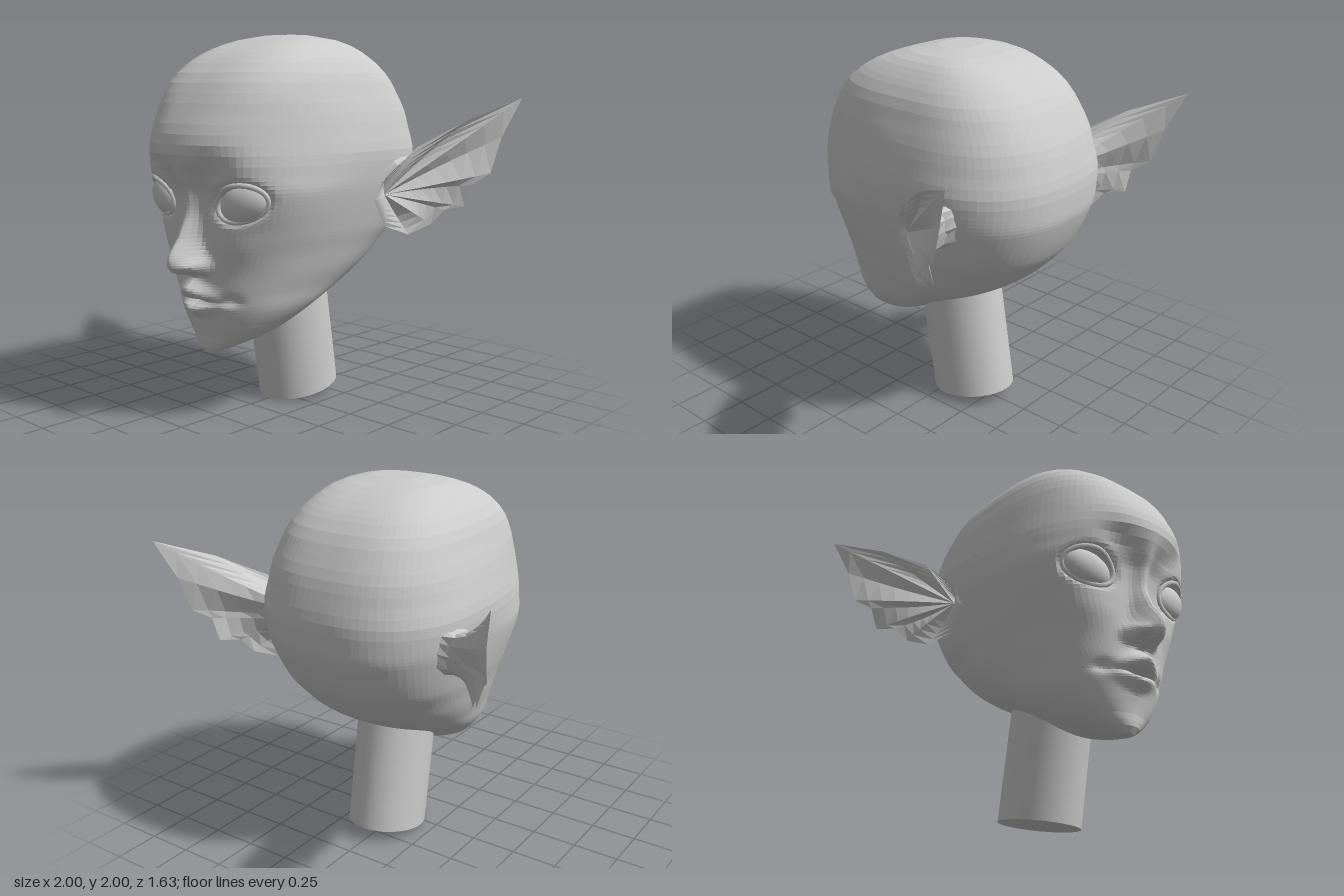
import * as THREE from 'three';

const material = new THREE.MeshStandardMaterial({ color: 0xcccccc, flatShading: true, side: THREE.DoubleSide });
const smooth = new THREE.MeshStandardMaterial({ color: 0xcccccc });

// Head cross-sections: height, half width, front z, back z, z of widest point, front and back squareness
const SECTIONS = [
  [0.36, 0.04, 0.565, 0.5, 0.53, 2, 2],
  [0.39, 0.1, 0.585, 0.38, 0.47, 2, 2.1],
  [0.45, 0.2, 0.59, 0.18, 0.38, 2, 2.2],
  [0.5, 0.26, 0.6, 0.1, 0.32, 2.1, 2.3],
  [0.6, 0.34, 0.622, -0.08, 0.22, 2.2, 2.3],
  [0.7, 0.385, 0.64, -0.3, 0.12, 2.3, 2.3],
  [0.8, 0.43, 0.645, -0.46, 0.03, 2.4, 2.3],
  [0.9, 0.465, 0.645, -0.57, -0.04, 2.6, 2.3],
  [1.0, 0.5, 0.648, -0.65, -0.1, 2.9, 2.4],
  [1.2, 0.55, 0.665, -0.735, -0.15, 3.4, 2.5],
  [1.3, 0.565, 0.73, -0.745, -0.17, 2.8, 2.5],
  [1.4, 0.57, 0.782, -0.742, -0.17, 2.4, 2.5],
  [1.5, 0.55, 0.765, -0.718, -0.16, 2.4, 2.5],
  [1.6, 0.525, 0.71, -0.685, -0.15, 2.6, 2.6],
  [1.7, 0.49, 0.645, -0.63, -0.12, 2.9, 2.7],
  [1.8, 0.45, 0.56, -0.56, -0.08, 3, 2.8],
  [1.9, 0.37, 0.41, -0.44, -0.05, 3, 2.8],
  [1.97, 0.27, 0.22, -0.28, -0.04, 2.8, 2.8],
  [2.0, 0.13, 0.07, -0.13, -0.03, 2.5, 2.5],
];
// Nose ridge: height, projection
const NOSE = [[0.77, 0], [0.785, 0.03], [0.803, 0.125], [0.83, 0.165], [0.86, 0.176], [0.895, 0.17], [0.94, 0.14],
  [0.985, 0.105], [1.1, 0.052], [1.22, 0.042], [1.34, 0.012], [1.45, 0]];
const EYE = { x: 0.29, y: 1.165, a: 0.13, b: 0.088, tilt: 0.36 };

// Smooth interpolation of one table column
function sample(table, y, k) {
  const last = table.length - 1;
  if (y <= table[0][0]) return table[0][k];
  if (y >= table[last][0]) return table[last][k];
  let i = 0;
  while (table[i + 1][0] < y) i++;
  const slope = (j) => {
    const p = table[Math.max(j - 1, 0)], q = table[Math.min(j + 1, last)];
    return (q[k] - p[k]) / (q[0] - p[0]);
  };
  const h = table[i + 1][0] - table[i][0], t = (y - table[i][0]) / h, t2 = t * t, t3 = t2 * t;
  return (2 * t3 - 3 * t2 + 1) * table[i][k] + (t3 - 2 * t2 + t) * h * slope(i)
    + (3 * t2 - 2 * t3) * table[i + 1][k] + (t3 - t2) * h * slope(i + 1);
}
const section = (y) => [1, 2, 3, 4, 5, 6].map((k) => sample(SECTIONS, y, k));

const bump = (x, y, cx, cy, sx, sy) => Math.exp(-(((x - cx) / sx) ** 2) - ((y - cy) / sy) ** 2);

// Nose, lips, brow and eye sockets as offsets in z
function features(x, y) {
  const ax = Math.abs(x);
  const width = 0.045 + 0.03 * bump(0, y, 0, 0.84, 1, 0.07);
  let z = sample(NOSE, y, 1) * Math.exp(-((ax / width) ** 2.2));
  z += 0.045 * bump(ax, y, 0.078, 0.84, 0.03, 0.035);
  z -= 0.04 * bump(ax, y, 0.042, 0.8, 0.02, 0.016);
  z += 0.07 * bump(ax, y, 0, 0.71 - 0.25 * ax, 0.11, 0.042);
  z += 0.055 * bump(ax, y, 0, 0.6 + 0.2 * ax, 0.1, 0.034);
  z -= 0.035 * bump(ax, y, 0, 0.648, 0.13, 0.016);
  z -= 0.025 * bump(ax, y, 0.19, 0.66, 0.04, 0.03);
  z += 0.015 * bump(ax, y, 0.27, 0.93, 0.12, 0.09);
  z -= 0.03 * bump(ax, y, 0.2, 1.33 + 0.3 * (ax - 0.2), 0.11, 0.07);
  const dx = ax - EYE.x, dy = y - EYE.y, c = Math.cos(EYE.tilt), s = Math.sin(EYE.tilt);
  const d = Math.hypot((dx * c + dy * s) / EYE.a, (dy * c - dx * s) / EYE.b);
  return z - 0.08 * Math.exp(-(d ** 5));
}

// Plain face surface without features
function faceZ(x, y) {
  const [w, zf, , zm, n] = section(y);
  return zm + (zf - zm) * (1 - Math.min(1, Math.abs(x) / w) ** n) ** (1 / n);
}

// Half width of the skull behind its widest point
function skullX(y, z) {
  const [w, , zb, zm, , n] = section(y);
  return w * (1 - Math.min(1, Math.max(0, zm - z) / (zm - zb)) ** n) ** (1 / n);
}

// Surface from a rule point(row, column)
function grid(rows, cols, point) {
  const pos = [], index = [];
  for (let i = 0; i <= rows; i++) for (let j = 0; j <= cols; j++) pos.push(...point(i, j));
  for (let i = 0; i < rows; i++) for (let j = 0; j < cols; j++) {
    const a = i * (cols + 1) + j, d = a + cols + 1;
    index.push(a, a + 1, d + 1, a, d + 1, d);
  }
  const g = new THREE.BufferGeometry();
  g.setAttribute('position', new THREE.Float32BufferAttribute(pos, 3));
  g.setIndex(index);
  g.computeVertexNormals();
  return g;
}

function headGeometry() {
  const ys = [0.36];
  while (ys[ys.length - 1] < 1.995) {
    const y = ys[ys.length - 1];
    ys.push(Math.min(2, y + (y < 0.54 ? 0.03 : y < 0.9 ? 0.012 : y < 1.3 ? 0.02 : y < 1.85 ? 0.05 : 0.025)));
  }
  const half = 60, rows = ys.length + 1;
  return grid(rows, half * 2, (i, j) => {
    const y = ys[Math.min(Math.max(i - 1, 0), ys.length - 1)];
    const shrink = i === 0 || i === rows ? 0.001 : 1;
    const [w, zf, zb, zm, nf, nb] = section(y);
    const u = j / half - 1, th = Math.PI * Math.sign(u) * Math.abs(u) ** 1.4;
    const s = Math.sin(th), c = Math.cos(th), n = c > 0 ? nf : nb, depth = c > 0 ? zf - zm : zm - zb;
    const r = shrink * (Math.abs(s / w) ** n + Math.abs(c / depth) ** n) ** (-1 / n);
    const x = r * s, z = zm + r * c;
    return [x, y, z + (c > 0 && z > 0.3 ? features(x, y) * shrink : 0)];
  });
}

// Fin ear outline: front rim, tip, scalloped rear edge, lobe
const EAR = [[0.565, 1.14, -0.1], [0.6, 1.26, -0.15], [0.69, 1.415, -0.29], [0.84, 1.55, -0.52], [1, 1.67, -0.81],
  [0.935, 1.46, -0.72], [0.91, 1.27, -0.66], [0.85, 1.21, -0.575], [0.81, 1.09, -0.57], [0.75, 1.075, -0.47],
  [0.7, 1.0, -0.42], [0.64, 0.95, -0.3], [0.575, 1.0, -0.18]].map((p) => new THREE.Vector3(...p));

function buildEar() {
  const hub = new THREE.Vector3(0.575, 1.17, -0.17), outward = new THREE.Vector3(0.82, -0.1, 0.56);
  const n = EAR.length, steps = 7;
  const front = (i, j) => {
    const t = i / steps, fold = j % n % 2 ? -0.022 : 0.01;
    return hub.clone().lerp(EAR[j % n], t).addScaledVector(outward, fold * Math.sin(Math.PI * t));
  };
  // The back flares from a ring sunk in the skull into the thin fin
  const back = (i, j) => {
    const p = EAR[j % n], t = i / steps, a = Math.atan2(p.y - 1.22, p.z + 0.33);
    const y = 1.27 + 0.18 * Math.sin(a), z = -0.37 + 0.2 * Math.cos(a);
    const root = new THREE.Vector3(skullX(y, z) - 0.02, y, z);
    return root.lerp(front(i, j).addScaledVector(outward, -0.015 * (1 - t)), 1 - (1 - t) ** 2.5);
  };
  const ear = new THREE.Group();
  [['earFrontFolds', front], ['earBack', back]].forEach(([name, rule]) => {
    const mesh = new THREE.Mesh(grid(steps, n, rule), material);
    mesh.name = name;
    ear.add(mesh);
  });
  return ear;
}

function buildEye() {
  const eye = new THREE.Group();
  const ball = new THREE.Mesh(new THREE.SphereGeometry(1, 32, 20), smooth);
  ball.name = 'eyeball';
  ball.scale.set(0.134, 0.096, 0.07);
  ball.rotation.set(-0.05, 0.28, EYE.tilt, 'YXZ');
  ball.position.set(EYE.x, EYE.y, faceZ(EYE.x, EYE.y) - 0.055);
  // Eyelid rim follows the face
  const rim = [];
  for (let i = 0; i < 24; i++) {
    const t = (i / 24) * Math.PI * 2, c = Math.cos(EYE.tilt), s = Math.sin(EYE.tilt);
    const u = EYE.a * Math.cos(t), v = EYE.b * Math.sin(t);
    const x = EYE.x + u * c - v * s, y = EYE.y + u * s + v * c;
    rim.push(new THREE.Vector3(x, y, faceZ(x, y) - 0.015));
  }
  const lid = new THREE.Mesh(new THREE.TubeGeometry(new THREE.CatmullRomCurve3(rim, true), 64, 0.014, 8, true), smooth);
  lid.name = 'eyelid';
  eye.add(ball, lid);
  return eye;
}

export function createModel() {
  const model = new THREE.Group();
  const head = new THREE.Mesh(headGeometry(), material);
  head.name = 'head';
  model.add(head);

  // Tilted oval neck
  const neck = new THREE.Mesh(new THREE.CylinderGeometry(0.24, 0.24, 0.75, 32), smooth);
  neck.name = 'neck';
  neck.scale.x = 0.86;
  neck.rotation.x = 0.17;
  neck.position.set(0, 0.041 + 0.375 * Math.cos(0.17), -0.135 + 0.375 * Math.sin(0.17));
  model.add(neck);

  // Mirrored pairs
  for (const side of [1, -1]) {
    const label = side > 0 ? 'left' : 'right';
    const ear = buildEar(), eye = buildEye();
    ear.name = label + 'Ear';
    eye.name = label + 'Eye';
    ear.scale.x = eye.scale.x = side;
    model.add(ear, eye);
  }
  return model;
}
